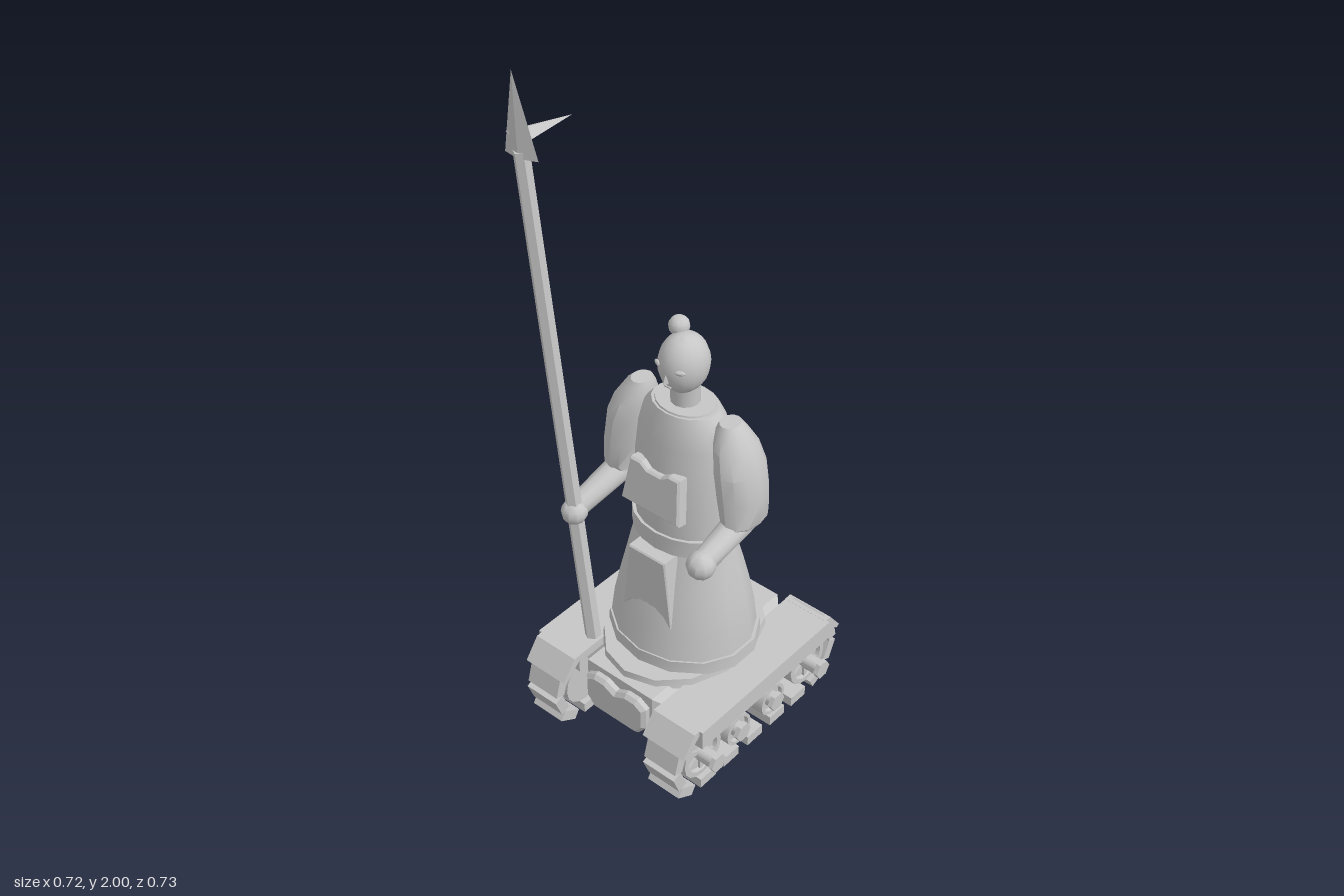
import * as THREE from 'three';
import { toCreasedNormals } from 'three/addons/utils/BufferGeometryUtils.js';

const CX = 0.03; // centre line of the figure and its carriage

export function createModel() {
  const root = new THREE.Group();
  const clay = new THREE.MeshStandardMaterial({ color: 0xc6c6c6 });
  clay.name = 'plain grey';

  function add(name, geo, x = 0, y = 0, z = 0, parent = root, crease = 0.6) {
    const mesh = new THREE.Mesh(toCreasedNormals(geo, crease), clay);
    mesh.name = name;
    mesh.position.set(x, y, z);
    parent.add(mesh);
    return mesh;
  }

  // Closed skin through horizontal ellipses [x, y, z, rx, rz], listed bottom to top
  function loft(rings, n = 14) {
    const pos = [], idx = [];
    for (const [x, y, z, rx, rz] of rings)
      for (let i = 0; i < n; i++) {
        const a = (i / n) * Math.PI * 2;
        pos.push(x + rx * Math.sin(a), y, z + rz * Math.cos(a));
      }
    const last = (rings.length - 1) * n;
    for (let r = 0; r < last; r += n)
      for (let i = 0; i < n; i++) {
        const j = (i + 1) % n;
        idx.push(r + i, r + j, r + n + j, r + i, r + n + j, r + n + i);
      }
    for (let i = 1; i < n - 1; i++) idx.push(0, i + 1, i, last, last + i, last + i + 1);
    const geo = new THREE.BufferGeometry();
    geo.setAttribute('position', new THREE.Float32BufferAttribute(pos, 3));
    geo.setIndex(idx);
    return geo;
  }

  // Tapered rod between two points
  function rod(name, a, b, ra, rb, sides, crease = 0.8) {
    const p = new THREE.Vector3(...a), q = new THREE.Vector3(...b);
    const dir = q.clone().sub(p);
    const m = add(name, new THREE.CylinderGeometry(rb, ra, dir.length(), sides), 0, 0, 0, root, crease);
    m.position.copy(p).add(q).multiplyScalar(0.5);
    m.quaternion.setFromUnitVectors(new THREE.Vector3(0, 1, 0), dir.normalize());
    return m;
  }

  function plate(points, depth, bevel) {
    const shape = new THREE.Shape(points.map(([x, y]) => new THREE.Vector2(x, y)));
    return new THREE.ExtrudeGeometry(shape, {
      depth, bevelEnabled: bevel > 0, bevelSize: bevel, bevelThickness: bevel, bevelSegments: 1,
    });
  }

  // Hull: side profile swept across the width, chamfered
  const hull = plate([[-0.245, 0.23], [-0.245, 0.17], [-0.18, 0.125], [0.18, 0.125], [0.245, 0.17], [0.245, 0.23]], 0.24, 0.035);
  hull.translate(0, 0, -0.12).rotateY(-Math.PI / 2);
  add('hull', hull, CX, 0, 0, root, 0.3);
  add('hullFrontPanel', plate([[-0.1, 0.22], [-0.075, 0.235], [-0.04, 0.235], [0, 0.215], [0.04, 0.235],
    [0.075, 0.235], [0.1, 0.22], [0.1, 0.16], [0.075, 0.13], [-0.075, 0.13], [-0.1, 0.16]], 0.015, 0.011), CX, 0, 0.28, root, 0.3);
  add('turretPlatform', loft([[CX, 0.255, 0, 0.215, 0.265], [CX, 0.285, 0, 0.21, 0.26]]));

  // Tracks: fender, sloped mudguards, shoes and wheels on each side
  const shoes = [[0.222, 0.016, 0], [0.12, 0.016, 0], [0.013, 0.016, 0], [-0.09, 0.016, 0], [-0.19, 0.016, 0],
    [-0.285, 0.03, 0.45], [-0.335, 0.1, 1.15], [-0.34, 0.172, 1.8], [-0.305, 0.232, 2.2],
    [0.315, 0.035, -0.55], [0.345, 0.1, -1.2], [0.342, 0.17, -1.85], [0.312, 0.228, -2.2]];
  function wheel(r, out) {
    return new THREE.LatheGeometry([[0, -0.05], [r, -0.05], [r, 0.05], [r * 0.8, 0.05], [r * 0.76, 0.038],
      [0.024, 0.038], [0.024, out], [0, out]].map(([a, b]) => new THREE.Vector2(a, b)), 16);
  }
  for (const side of [-1, 1]) {
    const track = new THREE.Group();
    track.name = side > 0 ? 'leftTrack' : 'rightTrack';
    track.position.x = CX + side * 0.222;
    root.add(track);
    add('fender', new THREE.BoxGeometry(0.157, 0.063, 0.57), side * 0.006, 0.233, 0, track);
    for (const end of [-1, 1]) {
      const guard = plate([[0.28, 0.265], [0.305, 0.265], [0.352, 0.203], [0.34, 0.197], [0.28, 0.25]], 0.147, 0);
      guard.translate(0, 0, -0.0735).rotateY(end > 0 ? -Math.PI / 2 : Math.PI / 2);
      add('mudguard', guard, 0, 0, 0, track);
    }
    for (const [z, y, tilt] of shoes)
      add('trackShoe', new THREE.BoxGeometry(0.112, 0.032, 0.066), 0, y, z, track).rotation.x = tilt;
    for (const [z, y, r, out] of [[0.24, 0.125, 0.078, 0.095], [0.08, 0.09, 0.052, 0.055],
      [-0.075, 0.09, 0.052, 0.055], [-0.235, 0.125, 0.078, 0.095]]) {
      const w = new THREE.Group();
      w.name = 'wheel';
      w.position.set(0, y, z);
      w.rotation.z = -side * Math.PI / 2;
      track.add(w);
      add('wheelDisc', wheel(r, out), 0, 0, 0, w);
      add('hexHub', new THREE.CylinderGeometry(0.03, 0.03, 0.014, 6), 0, out + 0.006, 0, w);
      if (r > 0.06)
        for (let i = 0; i < 3; i++)
          add('spokes', new THREE.BoxGeometry(0.12, 0.01, 0.014), 0, 0.041, 0, w).rotation.y = i * Math.PI / 3;
    }
  }

  // Robe: hem, flared skirt, belt, torso and collar
  add('hem', loft([[CX, 0.28, 0, 0.227, 0.203], [CX, 0.322, 0, 0.225, 0.2]]));
  add('skirt', loft([[CX, 0.32, 0.003, 0.217, 0.193], [CX, 0.4, 0.002, 0.21, 0.18], [CX, 0.48, 0, 0.195, 0.161],
    [CX, 0.56, 0, 0.177, 0.14], [CX, 0.655, 0, 0.152, 0.112]]));
  add('belt', loft([[CX, 0.65, 0.005, 0.158, 0.121], [CX, 0.705, 0.005, 0.158, 0.121]], 18));
  add('torso', loft([[CX, 0.7, 0.01, 0.144, 0.108], [CX, 0.8, 0.012, 0.146, 0.11], [CX, 0.9, 0.005, 0.147, 0.107],
    [CX, 0.99, 0, 0.142, 0.098], [CX, 1.045, 0, 0.128, 0.088], [CX, 1.08, 0, 0.1, 0.077]], 18));
  add('collar', loft([[CX, 1.06, 0, 0.095, 0.078], [CX, 1.085, 0, 0.088, 0.07]], 18));

  // Chest panel with a dipped top edge, and the hanging apron with an arched lower edge
  const chest = add('chestPanel', plate([[-0.095, -0.06], [0.095, -0.06], [0.08, 0.065], [0.05, 0.065], [0.025, 0.05],
    [-0.025, 0.05], [-0.05, 0.065], [-0.08, 0.065]], 0.028, 0.006), CX, 0.85, 0.105, root, 0.3);
  chest.rotation.x = -0.17;
  add('apron', plate([[-0.06, 0.645], [-0.085, 0.425], [-0.06, 0.455], [-0.03, 0.472], [0.03, 0.472], [0.06, 0.455],
    [0.085, 0.425], [0.06, 0.645]], 0.05, 0.004), CX, 0, 0.108, root, 0.3);

  // Head
  add('neck', new THREE.CylinderGeometry(0.041, 0.041, 0.09, 12), CX, 1.1, 0);
  add('head', new THREE.SphereGeometry(1, 16, 12).scale(0.067, 0.087, 0.074), CX, 1.208, 0.006);
  add('hairBun', new THREE.SphereGeometry(0.029, 12, 8), -0.005, 1.294, -0.015);
  for (const s of [-1, 1]) {
    const eye = add('eye', new THREE.SphereGeometry(1, 8, 6).scale(0.015, 0.007, 0.006), CX + s * 0.038, 1.22, 0.067);
    eye.rotation.y = s * 0.5;
  }
  add('nose', new THREE.ConeGeometry(0.009, 0.032, 4).scale(1, 1, 1.2), CX, 1.195, 0.078);
  add('mouth', new THREE.BoxGeometry(0.02, 0.004, 0.006), CX, 1.163, 0.07);

  // Arms: puffed sleeves mirrored, forearms posed separately
  for (const s of [-1, 1]) {
    const ring = (x, y, rx, rz) => [CX + s * x, y, 0, rx, rz];
    add(s > 0 ? 'leftSleeve' : 'rightSleeve', loft([ring(0.2, 0.785, 0.048, 0.07), ring(0.207, 0.8, 0.052, 0.08),
      ring(0.199, 0.88, 0.064, 0.081), ring(0.187, 0.96, 0.065, 0.08), ring(0.172, 1.02, 0.057, 0.068),
      ring(0.158, 1.065, 0.042, 0.045), ring(0.152, 1.085, 0.028, 0.033)], 12));
  }
  rod('rightForearm', [-0.172, 0.785, -0.01], [-0.197, 0.715, 0.185], 0.043, 0.033, 10);
  add('rightHand', new THREE.SphereGeometry(0.038, 10, 8), -0.194, 0.707, 0.203);
  rod('leftForearm', [0.232, 0.79, 0], [0.236, 0.75, 0.165], 0.042, 0.034, 10);
  add('leftHand', new THREE.SphereGeometry(0.041, 10, 8), 0.236, 0.745, 0.178);

  // Halberd: hexagonal shaft, flat spearhead and a rear spike
  rod('spearShaft', [-0.148, 0.265, 0.195], [-0.306, 1.79, 0.218], 0.024, 0.022, 6, 0.3);
  const head = new THREE.ConeGeometry(1, 0.225, 4).scale(0.057, 1, 0.014);
  add('spearHead', head, -0.313, 1.887, 0.22, root, 0.1).rotation.z = 0.09;
  const spike = new THREE.ConeGeometry(1, 0.225, 4).scale(0.038, 1, 0.017).rotateX(-Math.PI / 2);
  const blade = add('rearSpike', spike, -0.328, 1.807, 0.11, root, 0.1);
  blade.rotation.set(-0.19, 0.13, 0);

  return root;
}
